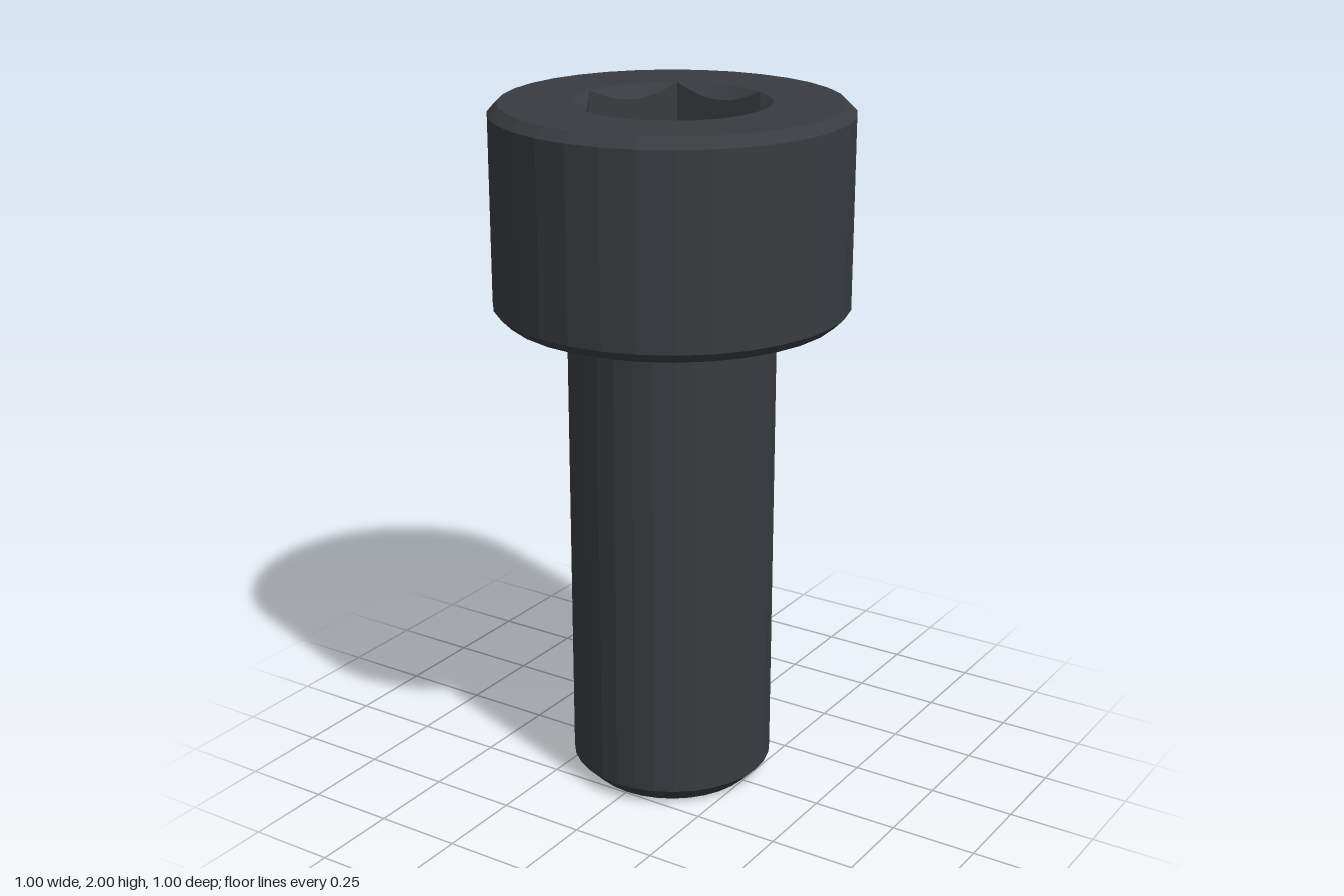
import * as THREE from 'three';

const SIDES = 32;          // facets of head and shank
const STEPS = 48;          // facets of the socket countersink (multiple of 6)
const TOP = 2, UNDER = 1.412, HEAD_R = 0.5, SHANK_R = 0.294;
const HEX_R = 0.2725, APOTHEM = HEX_R * Math.cos(Math.PI / 6);
const BEVEL = 0.028, FILLET = 0.022;

function circlePoints(radius, count) {
  return Array.from({ length: count }, (_, i) => {
    const a = (i / count) * Math.PI * 2;
    return new THREE.Vector2(radius * Math.cos(a), radius * Math.sin(a));
  });
}

function lathe(profile) {
  return new THREE.LatheGeometry(profile.map(([r, y]) => new THREE.Vector2(r, y)), SIDES);
}

// Socket surface: rings from rim circle to scalloped hexagon, down the walls, to the floor centre
function socketGeometry(floorY) {
  const hexRadius = (a) => {
    const sector = Math.PI / 3;
    return APOTHEM / Math.cos((a % sector) - sector / 2);
  };
  const rings = [
    () => [HEX_R, TOP],
    (a) => [hexRadius(a), TOP - (HEX_R - hexRadius(a))],
    (a) => [hexRadius(a), floorY],
    () => [0, floorY],
  ];
  const point = (ring, i) => {
    const a = ((i % STEPS) / STEPS) * Math.PI * 2;
    const [r, y] = rings[ring](a);
    return [r * Math.cos(a), y, r * Math.sin(a)];
  };
  const positions = [];
  for (let k = 0; k < rings.length - 1; k++) {
    for (let i = 0; i < STEPS; i++) {
      const a = point(k, i), b = point(k, i + 1);
      const c = point(k + 1, i), d = point(k + 1, i + 1);
      positions.push(...a, ...c, ...b);
      if (k < 2) positions.push(...b, ...c, ...d);
    }
  }
  const geometry = new THREE.BufferGeometry();
  geometry.setAttribute('position', new THREE.Float32BufferAttribute(positions, 3));
  geometry.computeVertexNormals();
  return geometry;
}

export function createModel() {
  const group = new THREE.Group();
  group.name = 'socketHeadScrew';
  const steel = new THREE.MeshStandardMaterial({ color: 0x383c40 });
  steel.flatShading = true;
  const add = (name, geometry) => {
    const mesh = new THREE.Mesh(geometry, steel);
    mesh.name = name;
    group.add(mesh);
    return mesh;
  };

  // Shank with chamfered tip and a small fillet under the head
  const shank = [[0, 0], [0.245, 0], [SHANK_R, 0.05]];
  for (let i = 0; i <= 4; i++) {
    const a = (i / 4) * Math.PI / 2;
    shank.push([
      SHANK_R + FILLET * (1 - Math.cos(a)),
      UNDER - FILLET * (1 - Math.sin(a)),
    ]);
  }
  add('shank', lathe(shank));

  // Head underside and bevelled side
  add('head', lathe([
    [SHANK_R + FILLET, UNDER],
    [HEAD_R - BEVEL, UNDER],
    [HEAD_R, UNDER + BEVEL],
    [HEAD_R, TOP - BEVEL],
    [HEAD_R - BEVEL, TOP],
  ]));

  // Flat top face around the socket
  const face = new THREE.Shape(circlePoints(HEAD_R - BEVEL, SIDES));
  face.holes.push(new THREE.Path(circlePoints(HEX_R, STEPS)));
  add('headTop', new THREE.ShapeGeometry(face).rotateX(-Math.PI / 2)).position.y = TOP;

  // Countersunk hexagonal socket
  add('hexSocket', socketGeometry(1.706));

  return group;
}
